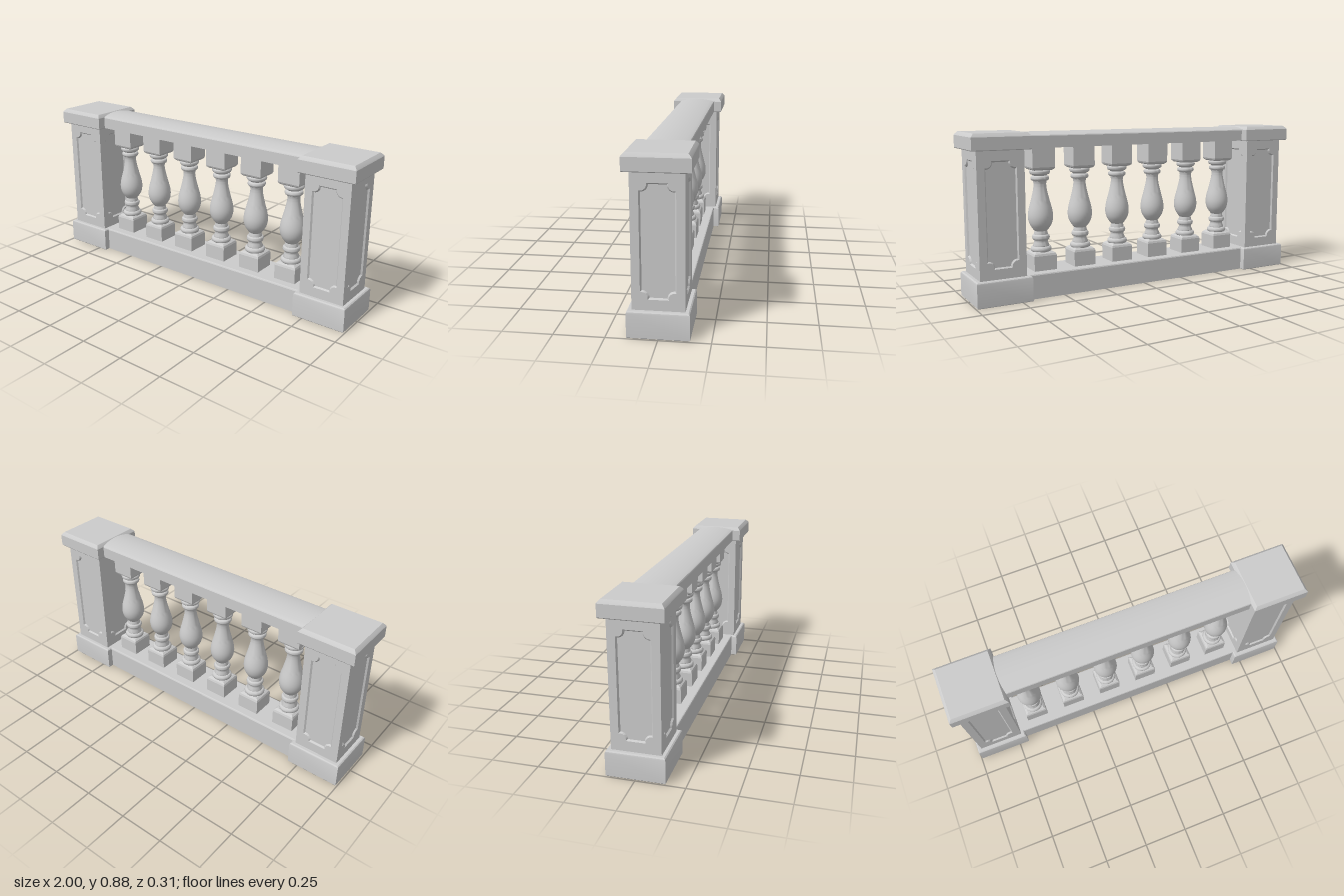
import * as THREE from 'three';
import { toCreasedNormals, mergeGeometries } from 'three/addons/utils/BufferGeometryUtils.js';

const stone = new THREE.MeshStandardMaterial({ color: 0xcccccc });

function part(name, geometry, parent) {
  const mesh = new THREE.Mesh(geometry, stone);
  mesh.name = name;
  parent.add(mesh);
  return mesh;
}

// Square block from a [half width, y] profile, listed bottom to top
function squareBlock(profile) {
  const pts = profile.map(([h, y]) => new THREE.Vector2(h * Math.SQRT2, y));
  pts.unshift(new THREE.Vector2(0, profile[0][1]));
  pts.push(new THREE.Vector2(0, profile[profile.length - 1][1]));
  return toCreasedNormals(new THREE.LatheGeometry(pts, 4, Math.PI / 4), 0.3);
}

// Bar along x from a [z, y] cross-section
function bar(section, length) {
  const shape = new THREE.Shape(section.map(([z, y]) => new THREE.Vector2(z, y)));
  const g = new THREE.ExtrudeGeometry(shape, { depth: length, bevelEnabled: false });
  g.translate(0, 0, -length / 2).rotateY(Math.PI / 2);
  return toCreasedNormals(g, 0.35);
}

// Counter-clockwise panel outline with scooped, stepped corners, inset by t
function panelOutline(t) {
  const w = 0.085, h = 0.278, c = 0.036, s = 0.008, r = c - s + t, n = 8;
  const pts = [];
  const corners = [[1, 1], [-1, 1], [-1, -1], [1, -1]];
  corners.forEach(([sx, sy]) => {
    const corner = [[w - t, h - c - t]];
    for (let i = 0; i <= n; i++) {
      const a = (i / n) * Math.PI / 2;
      corner.push([w - s - r * Math.sin(a), h - s - r * Math.cos(a)]);
    }
    corner.push([w - c - t, h - t]);
    if (sx * sy < 0) corner.reverse();
    corner.forEach(([x, y]) => pts.push(new THREE.Vector2(x * sx, y * sy)));
  });
  return pts;
}

// One post face: flat surround, sloped edge and sunken panel
function postFace(half, y0, y1) {
  const cy = 0.467, depth = 0.009;
  const outer = panelOutline(0), inner = panelOutline(0.007);
  const surround = new THREE.Shape([[-half, y0 - cy], [half, y0 - cy], [half, y1 - cy], [-half, y1 - cy]]
    .map(([x, y]) => new THREE.Vector2(x, y)));
  surround.holes.push(new THREE.Path(outer));
  const front = new THREE.ShapeGeometry(surround);
  const panel = new THREE.ShapeGeometry(new THREE.Shape(inner)).translate(0, 0, -depth);

  const pos = [];
  outer.forEach((a, i) => {
    const j = (i + 1) % outer.length, b = outer[j], c = inner[j], d = inner[i];
    pos.push(a.x, a.y, 0, b.x, b.y, 0, c.x, c.y, -depth);
    pos.push(a.x, a.y, 0, c.x, c.y, -depth, d.x, d.y, -depth);
  });
  const slope = new THREE.BufferGeometry();
  slope.setAttribute('position', new THREE.Float32BufferAttribute(pos, 3));

  const pieces = [front, panel, slope].map(g => {
    const flat = g.index ? g.toNonIndexed() : g;
    flat.deleteAttribute('uv');
    flat.deleteAttribute('normal');
    return flat;
  });
  return toCreasedNormals(mergeGeometries(pieces), 0.5).translate(0, cy, half);
}

function makePost() {
  const post = new THREE.Group();
  post.name = 'post';
  part('postBase', squareBlock([[0.148, 0], [0.15, 0.003], [0.15, 0.123], [0.148, 0.13], [0.142, 0.135]]), post);
  const face = postFace(0.126, 0.13, 0.802);
  for (let i = 0; i < 4; i++) part('postPanel', face, post).rotation.y = i * Math.PI / 2;
  part('postCap', squareBlock([[0.154, 0.798], [0.157, 0.802], [0.157, 0.866], [0.154, 0.871], [0.141, 0.885]]), post);
  return post;
}

// Round half bead for the turned profile
function bead(y, height, rIn, rOut) {
  const pts = [];
  for (let i = 0; i <= 8; i++) {
    const a = -Math.PI / 2 + (i / 8) * Math.PI;
    pts.push(new THREE.Vector2(rIn + (rOut - rIn) * Math.cos(a), y + height / 2 * Math.sin(a)));
  }
  return pts;
}

function makeBaluster() {
  const baluster = new THREE.Group();
  baluster.name = 'baluster';
  part('lowerBlock', squareBlock([[0.064, 0.13], [0.064, 0.215], [0.06, 0.226], [0.048, 0.235]]), baluster);
  part('upperBlock', squareBlock([[0.05, 0.677], [0.06, 0.684], [0.064, 0.693], [0.064, 0.805]]), baluster);

  // Vase-shaped body between the ring mouldings
  const body = new THREE.SplineCurve([[0.034, 0.345], [0.045, 0.358], [0.061, 0.385], [0.068, 0.42],
    [0.064, 0.46], [0.051, 0.51], [0.039, 0.56], [0.034, 0.595], [0.036, 0.612]]
    .map(([r, y]) => new THREE.Vector2(r, y))).getPoints(28);
  const profile = [
    ...bead(0.245, 0.032, 0.044, 0.057),
    new THREE.Vector2(0.045, 0.265), new THREE.Vector2(0.037, 0.282), new THREE.Vector2(0.037, 0.292),
    ...bead(0.31, 0.03, 0.038, 0.048),
    new THREE.Vector2(0.038, 0.33),
    ...body,
    ...bead(0.632, 0.028, 0.038, 0.05),
    new THREE.Vector2(0.04, 0.65),
    ...bead(0.666, 0.028, 0.044, 0.056),
    new THREE.Vector2(0.044, 0.69),
  ];
  part('turnedShaft', toCreasedNormals(new THREE.LatheGeometry(profile, 32), 0.7), baluster);
  return baluster;
}

export function createModel() {
  const model = new THREE.Group();
  model.name = 'balustrade';

  // End posts
  for (const side of [-1, 1]) {
    const post = makePost();
    post.position.x = side * 0.843;
    model.add(post);
  }

  // Plinth rail with softened upper edges
  part('bottomRail', bar([[-0.116, 0], [0.116, 0], [0.116, 0.127], [0.113, 0.133], [0.108, 0.135],
    [-0.108, 0.135], [-0.113, 0.133], [-0.116, 0.127]], 1.42), model);

  // Handrail with a gently arched top
  const handrail = [[-0.11, 0.8], [0.11, 0.8], [0.11, 0.862], [0.107, 0.867]];
  for (let i = 0; i <= 12; i++) {
    const z = 0.1 - i / 60;
    handrail.push([z, 0.882 - 0.012 * (z / 0.1) ** 2]);
  }
  handrail.push([-0.107, 0.867], [-0.11, 0.862]);
  part('handrail', bar(handrail, 1.44), model);

  // Row of balusters
  for (let i = 0; i < 6; i++) {
    const baluster = makeBaluster();
    baluster.position.x = (i - 2.5) * 0.2345;
    model.add(baluster);
  }
  return model;
}
